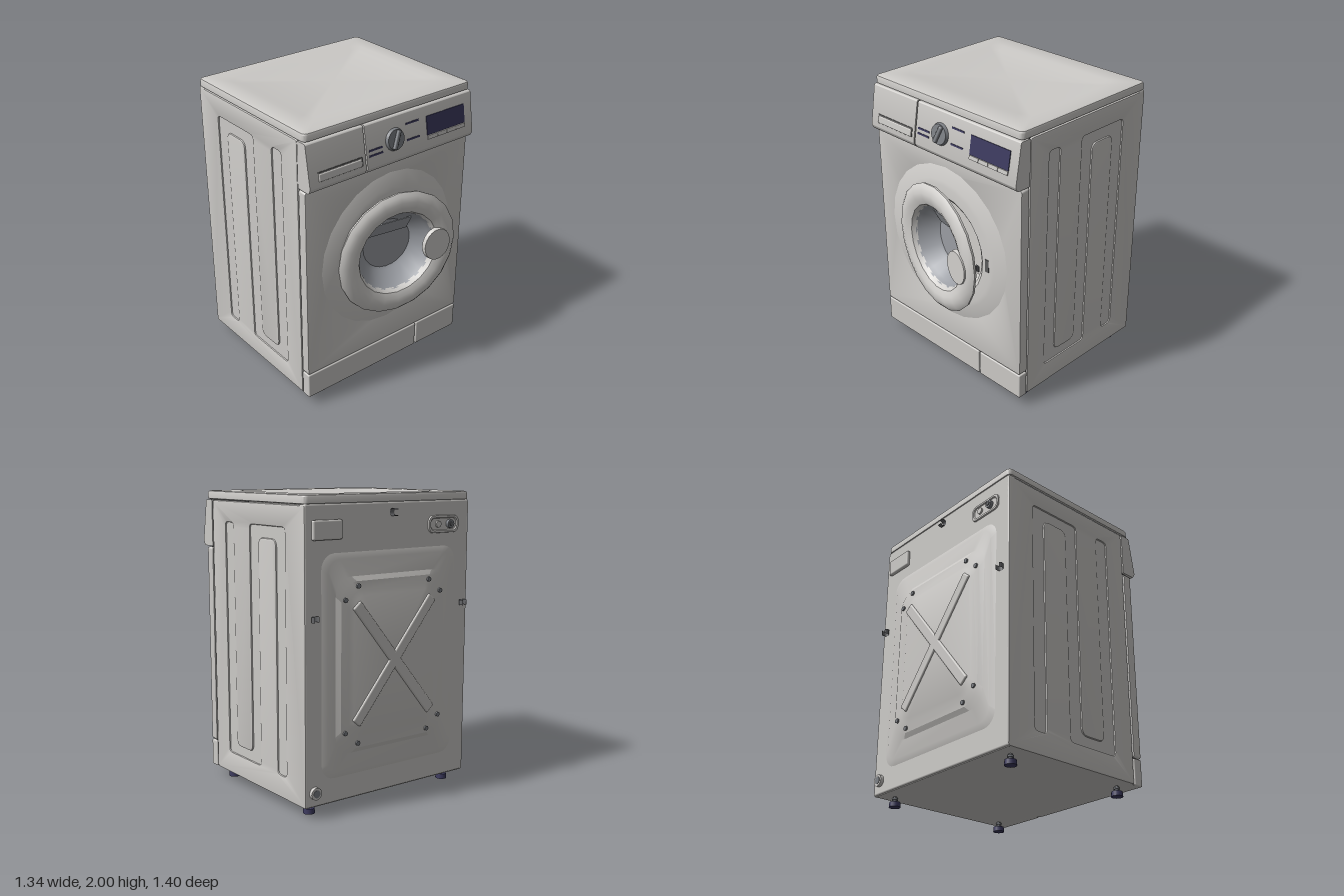
import * as THREE from 'three';
import { toCreasedNormals } from 'three/addons/utils/BufferGeometryUtils.js';
import { RoundedBoxGeometry } from 'three/addons/geometries/RoundedBoxGeometry.js';

const mat = (name, color, side = THREE.FrontSide) => {
  const m = new THREE.MeshStandardMaterial({ color, side });
  m.name = name;
  return m;
};

// Closed outline with rounded corners
function roundedPath(pts, r, PathType = THREE.Shape) {
  const path = new PathType();
  const P = pts.map(([x, y]) => new THREE.Vector2(x, y));
  P.forEach((p, i) => {
    const toward = (q) => p.clone().add(q.clone().sub(p).setLength(r));
    const a = toward(P[(i + P.length - 1) % P.length]);
    const b = toward(P[(i + 1) % P.length]);
    if (i === 0) path.moveTo(a.x, a.y); else path.lineTo(a.x, a.y);
    path.quadraticCurveTo(p.x, p.y, b.x, b.y);
  });
  path.closePath();
  return path;
}
const rect = (x0, y0, x1, y1) => [[x0, y0], [x1, y0], [x1, y1], [x0, y1]];

// Stacked rounded rectangles [halfWidth, halfHeight, z, radius], capped at the last one
function pressing(rings, n = 5) {
  const pos = [], idx = [], count = 4 * (n + 1);
  for (const [hx, hy, z, r] of rings) {
    for (let c = 0; c < 4; c++) for (let k = 0; k <= n; k++) {
      const a = (c + k / n) * Math.PI / 2;
      const sx = c === 0 || c === 3 ? 1 : -1, sy = c < 2 ? 1 : -1;
      pos.push(sx * (hx - r) + r * Math.cos(a), sy * (hy - r) + r * Math.sin(a), z);
    }
  }
  const last = (rings.length - 1) * count;
  pos.push(0, 0, rings[rings.length - 1][2]);
  for (let j = 0; j < count; j++) {
    const k = (j + 1) % count;
    for (let i = 0; i < rings.length - 1; i++) {
      const a = i * count + j, b = i * count + k;
      idx.push(a, b, b + count, a, b + count, a + count);
    }
    idx.push(last + count, last + j, last + k);
  }
  const g = new THREE.BufferGeometry();
  g.setAttribute('position', new THREE.Float32BufferAttribute(pos, 3));
  g.setIndex(idx);
  return toCreasedNormals(g, 0.5);
}

// Lathe around the z axis, profile points are [radius, z]
const turned = (pts, sides) => toCreasedNormals(
  new THREE.LatheGeometry(pts.map(([r, z]) => new THREE.Vector2(r, z)), sides).rotateX(Math.PI / 2), 0.6);

export function createModel() {
  const root = new THREE.Group();
  root.name = 'washingMachine';
  const body = mat('bodyGrey', 0xcccac7);
  const shell = mat('doorGrey', 0xd2d0cd, THREE.DoubleSide);
  const seam = mat('seamGrey', 0x5c5c5c);
  const navy = mat('navy', 0x3c3a5e);
  const knobGrey = mat('knobGrey', 0x7c7f84);
  const glass = mat('glassGrey', 0x9a9da3, THREE.DoubleSide);
  const metal = mat('hookGrey', 0x66676a, THREE.DoubleSide);

  const add = (parent, name, geo, material, x = 0, y = 0, z = 0) => {
    const m = new THREE.Mesh(geo, material);
    m.name = name;
    m.position.set(x, y, z);
    parent.add(m);
    return m;
  };
  const box = (w, h, d) => new THREE.BoxGeometry(w, h, d);
  const rodZ = (r, d, n = 16) => new THREE.CylinderGeometry(r, r, d, n).rotateX(Math.PI / 2);

  // Cabinet: rear block, and a front frame around the door opening
  add(root, 'cabinetRear', new RoundedBoxGeometry(1.335, 1.87, 0.06, 2, 0.012), body, 0, 1.01, -0.61);
  add(root, 'cabinetCore', box(1.31, 1.86, 0.6), body, 0, 1.01, -0.31);
  const frame = roundedPath(rect(-0.655, 0.08, 0.655, 1.95), 0.01);
  frame.holes.push(new THREE.Path().absarc(0, 1, 0.35, 0, Math.PI * 2, true));
  add(root, 'frontFrame', new THREE.ExtrudeGeometry(frame, { depth: 0.48, bevelEnabled: false, curveSegments: 12 }), seam);
  add(root, 'bottomPlate', box(1.32, 0.012, 1.12), body, 0, 0.077, -0.07);

  // Side panels with a winding pressed groove
  const groove = [[0.28, 0.21], [-0.14, 0.21], [-0.14, 1.71], [-0.32, 1.71], [-0.32, 0.21], [-0.44, 0.21],
    [-0.44, 1.81], [-0.02, 1.81], [-0.02, 0.3], [0.16, 0.3], [0.16, 1.81], [0.28, 1.81]];
  const side = roundedPath(rect(-0.628, 0.083, 0.423, 1.925), 0.005);
  side.holes.push(roundedPath(groove, 0.04, THREE.Path));
  const sideGeo = toCreasedNormals(new THREE.ExtrudeGeometry(side, {
    depth: 0.005, bevelThickness: 0.01, bevelSize: 0.012, bevelSegments: 2, curveSegments: 5,
  }).rotateY(-Math.PI / 2), 0.6);
  for (const s of [-1, 1]) {
    add(root, 'sidePanel', sideGeo, body, s * 0.655).scale.x = -s;
    add(root, 'sideGrooveFloor', box(0.006, 1.82, 1.04), body, s * 0.657, 1.005, -0.1);
  }

  // Lid with a shallow pressed field
  add(root, 'lid', pressing([
    [0.66, 0.565, 1.942, 0.03], [0.67, 0.575, 1.947, 0.03], [0.67, 0.575, 1.985, 0.03], [0.666, 0.571, 1.995, 0.03],
    [0.655, 0.56, 2, 0.03], [0.54, 0.425, 2, 0.07], [0.49, 0.37, 1.988, 0.04],
  ]).rotateX(-Math.PI / 2), body, 0, 0, -0.065);

  // Front panel with a round opening, and the raised door surround
  const front = roundedPath(rect(-0.664, 0.265, 0.664, 1.612), 0.01);
  front.holes.push(new THREE.Path().absarc(0, 1, 0.5, 0, Math.PI * 2, true));
  add(root, 'frontPanel', toCreasedNormals(new THREE.ExtrudeGeometry(front, {
    depth: 0.055, bevelThickness: 0.006, bevelSize: 0.006, bevelSegments: 2,
  }), 0.6), body, 0, 0, 0.449);
  add(root, 'doorSurround', turned([[0.56, 0.507], [0.545, 0.512], [0.46, 0.533], [0.43, 0.537], [0.36, 0.537],
    [0.33, 0.515], [0.32, 0.3], [0, 0.3]], 24), shell, 0, 1, 0);
  add(root, 'latchPlate', box(0.03, 0.09, 0.006), seam, 0.4, 1, 0.538);

  // Kick plate and service flap
  add(root, 'kickPlate', new RoundedBoxGeometry(0.953, 0.182, 0.07, 2, 0.008), body, -0.1935, 0.161, 0.476);
  add(root, 'serviceFlap', new RoundedBoxGeometry(0.378, 0.182, 0.07, 2, 0.008), body, 0.481, 0.161, 0.476);

  // Control fascia and detergent drawer share one sloping profile
  const profile = roundedPath([[0.44, 1.627], [0.543, 1.627], [0.562, 1.66], [0.517, 1.938], [0.44, 1.938]], 0.01);
  const fascia = (w) => toCreasedNormals(new THREE.ExtrudeGeometry(profile, { depth: w, bevelEnabled: false })
    .translate(0, 0, -w / 2).rotateY(-Math.PI / 2), 0.6);
  add(root, 'controlFascia', fascia(0.899), body, 0.2205, 0, 0);
  add(root, 'drawerFront', fascia(0.431), body, -0.4545, 0, 0);

  // Details lying on the sloping face
  const face = new THREE.Group();
  face.name = 'controls';
  face.position.set(0, 1.79, 0.541);
  face.rotation.x = -Math.atan2(0.045, 0.278);
  root.add(face);
  add(face, 'display', box(0.33, 0.125, 0.008), navy, 0.435, 0.015, 0.001);
  for (let i = 0; i < 4; i++) add(face, 'button', box(0.079, 0.026, 0.016), body, 0.311 + i * 0.0825, -0.063, 0);
  for (const [x, y] of [[-0.155, -0.02], [-0.155, -0.054], [0.152, 0.072], [0.152, -0.034]]) {
    add(face, 'stripe', box(0.108, 0.012, 0.006), navy, x, y, 0);
  }
  add(face, 'knob', new THREE.CylinderGeometry(0.066, 0.074, 0.02, 24).rotateX(Math.PI / 2), knobGrey, 0, 0, 0.009);
  add(face, 'knobGrip', new RoundedBoxGeometry(0.03, 0.125, 0.025, 2, 0.01), knobGrey, 0, 0, 0.024).rotation.z = -0.4;
  add(face, 'drawerGripLine', box(0.34, 0.007, 0.004), seam, -0.435, -0.042, 0.001);
  add(face, 'drawerGripEnd', box(0.006, 0.055, 0.004), seam, -0.265, -0.07, 0.001);
  add(face, 'drawerGripLip', new RoundedBoxGeometry(0.33, 0.05, 0.016, 2, 0.007), body, -0.435, -0.075, 0);

  // Door, slightly open on its hinge
  const door = new THREE.Group();
  door.name = 'door';
  door.position.set(0, 1, 0.605);
  door.rotation.y = -0.165;
  root.add(door);
  add(door, 'doorRing', turned([[0.28, -0.02], [0.42, -0.02], [0.44, -0.012], [0.443, 0.004], [0.42, 0.022], [0.38, 0.033],
    [0.34, 0.031], [0.3, 0.014], [0.28, -0.02]], 20), shell);
  add(door, 'doorBowl', turned([[0, -0.14], [0.18, -0.14], [0.2, -0.125], [0.265, -0.05], [0.285, -0.01]], 24), glass);
  add(door, 'bowlWedge', box(0.29, 0.13, 0.006), glass, 0, 0.145, -0.1).rotation.x = 0.5;
  const grip = add(door, 'doorHandle', new THREE.CylinderGeometry(0.115, 0.12, 0.03, 24).rotateX(Math.PI / 2), shell, 0.285, 0, 0.027);
  grip.scale.x = 0.85;
  add(door, 'latchHook', box(0.012, 0.04, 0.06), metal, 0.365, 0, -0.04);
  add(door, 'latchTip', box(0.03, 0.04, 0.01), metal, 0.37, 0, -0.068);
  add(root, 'hinge', box(0.04, 0.2, 0.03), seam, -0.385, 1, 0.54);

  // Rear pressing with crossed ribs and screws
  add(root, 'rearPressing', pressing([[0.56, 0.72, 0.635, 0.1], [0.51, 0.67, 0.655, 0.09], [0.45, 0.56, 0.655, 0.12],
    [0.42, 0.53, 0.672, 0.12], [0.36, 0.47, 0.672, 0.1], [0.33, 0.44, 0.684, 0.08]]).rotateY(Math.PI), body, 0, 0.94, 0);
  for (const s of [-1, 1]) {
    add(root, 'crossRib', new RoundedBoxGeometry(0.98, 0.075, 0.03, 2, 0.012), body, 0, 0.95, -0.68).rotation.z = s * 0.88;
    for (const t of [-1, 1]) for (const [x, y] of [[0.29, 0.5], [0.39, 0.42]]) {
      add(root, 'rearScrew', rodZ(0.016, 0.016, 8), knobGrey, s * x, 0.94 + t * y, -0.675);
    }
  }

  // Rear fittings
  add(root, 'cableCover', new RoundedBoxGeometry(0.22, 0.12, 0.03, 2, 0.012), body, 0.51, 1.79, -0.648);
  add(root, 'valvePlate', pressing([[0.135, 0.06, 0.63, 0.04], [0.13, 0.055, 0.65, 0.04], [0.115, 0.042, 0.65, 0.03],
    [0.11, 0.037, 0.643, 0.03]]).rotateY(Math.PI), body, -0.44, 1.79, 0);
  add(root, 'waterValve', rodZ(0.028, 0.03, 12), knobGrey, -0.49, 1.79, -0.65);
  add(root, 'valveCore', rodZ(0.014, 0.04, 8), metal, -0.49, 1.79, -0.65);
  add(root, 'valveStub', rodZ(0.022, 0.016, 12), body, -0.39, 1.79, -0.647);
  add(root, 'drainOutlet', rodZ(0.04, 0.04, 16), body, 0.6, 0.165, -0.643);
  add(root, 'drainCap', rodZ(0.025, 0.046, 16), knobGrey, 0.6, 0.165, -0.643);

  // Hose hooks: open rings facing backwards
  const hook = new THREE.CylinderGeometry(0.025, 0.025, 0.035, 14, 1, true, Math.PI + 0.7, Math.PI * 2 - 1.4);
  add(root, 'hoseHook', hook, metal, 0.61, 1.26, -0.667);
  add(root, 'hoseHook', hook, metal, -0.61, 1.26, -0.667);
  add(root, 'hoseHook', hook, metal, 0, 1.88, -0.667).rotation.z = Math.PI / 2;

  // Adjustable feet
  for (const x of [-0.57, 0.57]) for (const z of [0.375, -0.535]) {
    add(root, 'foot', new THREE.CylinderGeometry(0.036, 0.039, 0.034, 16), navy, x, 0.017, z);
    add(root, 'footStem', new THREE.CylinderGeometry(0.012, 0.012, 0.06, 8), knobGrey, x, 0.05, z);
    add(root, 'footNut', new THREE.CylinderGeometry(0.022, 0.022, 0.012, 6), knobGrey, x, 0.055, z);
  }
  return root;
}
